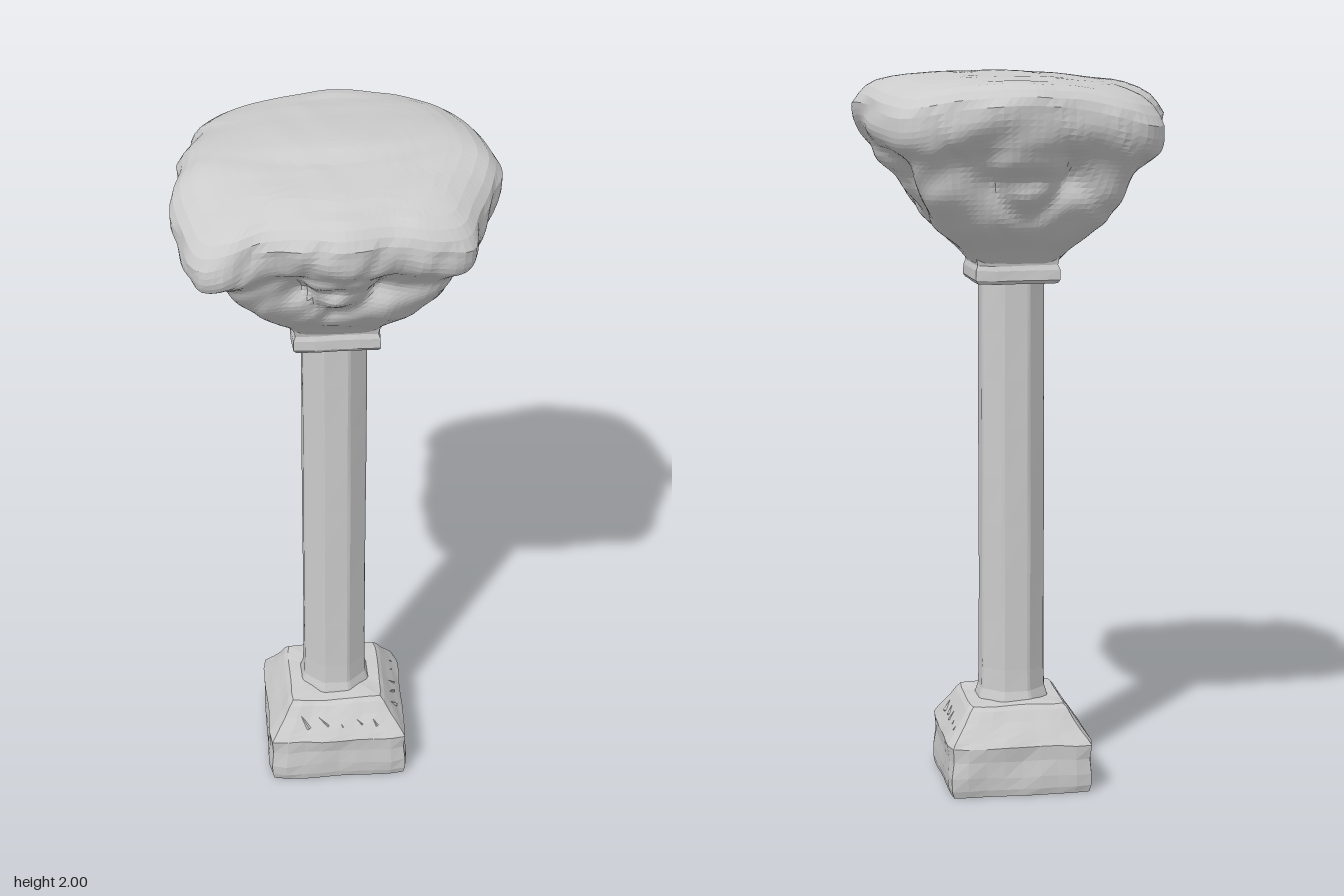
import * as THREE from 'three';

const material = new THREE.MeshStandardMaterial({ color: 0xcccccc, flatShading: true });
const { sin, cos, abs, hypot, atan2, PI, exp } = Math;
const V = (x, y, z) => new THREE.Vector3(x, y, z);
const ramp = (v, from, to) => Math.min(1, Math.max(0, (v - from) / (to - from)));

// Smooth repeatable roughness, about -1 to 1
const rough = (x, y, z) =>
  (sin(17 * x + 5 * sin(9 * y + 4 * z)) + sin(19 * z + 4 * sin(13 * x - 7 * y)) + sin(23 * y + 11 * x - 9 * z)) / 3;

// Skin a stack of equal-length rings, listed bottom to top, and close both ends
function loft(name, rings) {
  const n = rings[0].length, points = rings.flat(), index = [];
  const centre = ring => ring.reduce((s, p) => s.add(p), V(0, 0, 0)).divideScalar(n);
  for (let i = 0; i < rings.length - 1; i++) {
    for (let j = 0; j < n; j++) {
      const a = i * n + j, c = i * n + (j + 1) % n;
      index.push(a, a + n, c, c, a + n, c + n);
    }
  }
  const bottom = points.length, top = bottom + 1, last = (rings.length - 1) * n;
  points.push(centre(rings[0]), centre(rings[rings.length - 1]));
  for (let j = 0; j < n; j++) {
    const k = (j + 1) % n;
    index.push(bottom, j, k, top, last + k, last + j);
  }
  const geometry = new THREE.BufferGeometry().setFromPoints(points);
  geometry.setIndex(index);
  geometry.computeVertexNormals();
  const mesh = new THREE.Mesh(geometry, material);
  mesh.name = name;
  return mesh;
}

// Square ring with slightly worn corners
function squareRing(half, y, perSide, wear) {
  const ring = [];
  for (let s = 0; s < 4; s++) {
    for (let i = 0; i < perSide; i++) {
      const t = 2 * i / perSide - 1;
      const p = V(half, y, half * t).applyAxisAngle(V(0, 1, 0), -s * PI / 2);
      const k = 1 + wear * rough(p.x * 1.6, y, p.z * 1.6) - (i === 0 ? 0.03 : 0);
      ring.push(V(p.x * k, y + (y > 0.03 ? wear * 0.2 * rough(p.z, p.x, y) : 0), p.z * k));
    }
  }
  return ring;
}

// Octagonal ring with bevelled edges and a flat side to the front
function octagonRing(half, y, wear) {
  return Array.from({ length: 16 }, (_, i) => {
    const a = ((i >> 1) + 0.5) * PI / 4 + (i % 2 ? 0.05 : -0.05);
    const r = half / cos(PI / 8 - 0.05) * (1 + wear * sin(i * 4.1 + y * 7));
    return V(r * cos(a), y, r * sin(a));
  });
}

// Uneven plan of the capital's rim, as x and z
const rim = new THREE.CatmullRomCurve3([
  [.425, .06], [.405, .14], [.36, .25], [.32, .345], [.23, .38], [.13, .375], [0, .4], [-.08, .38], [-.21, .35],
  [-.30, .365], [-.37, .34], [-.41, .23], [-.43, .1], [-.405, 0], [-.395, -.12], [-.355, -.23], [-.365, -.28],
  [-.31, -.345], [-.25, -.365], [-.12, -.375], [0, -.4], [.16, -.38], [.32, -.33], [.385, -.21], [.415, -.06],
].map(([x, z]) => V(x, 0, z)), true).getSpacedPoints(128).slice(0, 128);

// The top falls toward the front, gently toward the other sides, and at the corners
const droop = (x, z) =>
  0.03 * x - 0.18 * x * x - (z > 0 ? 0.13 : 0.05) * abs(z) * ramp(abs(z), 0, 0.15) - 2.5 * (x * z) ** 2;

// Carved leaves: a central lobe under a drooping lip, with scrolled grooves at both sides
function carving(angle, y) {
  const t = (((angle / (PI / 2) + 0.5) % 1 + 1) % 1) * 2 - 1; // -1 to 1 across one face
  const bump = (u, v, w, h) => exp(-(((t - u) / w) ** 2) - ((y - v) / h) ** 2);
  const lobe = hypot(t / 0.45, (y - 1.75) / 0.13);
  const groove = exp(-(((lobe - 1) / 0.3) ** 2)) * (1 - ramp(y, 1.72, 1.82));
  const scroll = bump(-0.58, 1.73, 0.2, 0.08) + bump(0.58, 1.73, 0.2, 0.08);
  const lip = bump(0, 1.765, 0.4, 0.03), dip = bump(0, 1.715, 0.35, 0.03);
  return 0.01 * lip - 0.014 * dip - 0.028 * groove - 0.035 * scroll;
}

function capitalRing(size, y, blend) {
  return rim.map(p => {
    const a = atan2(p.z, p.x), c = cos(a), s = sin(a);
    const square = size / (abs(c) ** 6 + abs(s) ** 6) ** (1 / 6);
    const outline = hypot(p.x, p.z) * size / 0.41;
    let r = square + (outline - square) * blend;
    r += ramp(y, 1.5, 1.6) * (carving(a, y) + 0.01 * rough(c * r * 1.5, y * 1.3, s * r * 1.5));
    return V(r * c, y + blend ** 3 * droop(r * c, r * s), r * s);
  });
}

// Waved top of the capital with shallow curved furrows
function topRing(scale, y) {
  return rim.map(p => {
    const x = p.x * scale, z = p.z * scale;
    const furrow = (at, bend) => exp(-(((z - at + bend * x * x) / 0.035) ** 2) - (x / 0.25) ** 2);
    const wave = 0.003 * rough(x, 0.3, z) - 0.008 * furrow(0.1, 0.8) - 0.01 * furrow(0.31, 0.8) - 0.006 * furrow(-0.27, 0.3);
    return V(x, y + droop(x, z) + wave, z);
  });
}

export function createModel() {
  const model = new THREE.Group();
  model.name = 'stonePillar';

  // Plinth block with its sloping shoulder
  const plinth = [[.197, 0], [.202, .02], [.203, .055], [.199, .1], [.202, .14], [.192, .155], [.178, .175],
    [.16, .2], [.142, .228], [.131, .24], [.095, .243]];
  model.add(loft('plinth', plinth.map(([h, y]) => squareRing(h, y, 8, 0.025))));

  // Chiselled scratches on the front and left shoulders
  const scratches = new THREE.Group();
  scratches.name = 'shoulderScratches';
  for (let side = 0; side < 2; side++) {
    for (let i = 0; i < 5; i++) {
      const holder = new THREE.Group();
      holder.rotation.y = side * PI / 2;
      const scratch = new THREE.Mesh(new THREE.ConeGeometry(0.006, 0.06, 4), material);
      scratch.name = 'scratch';
      scratch.position.set(-0.1 + i * 0.05, 0.193, 0.163);
      scratch.rotation.set(-0.65, 0, i % 2 ? 0.8 : 0.5);
      holder.add(scratch);
      scratches.add(holder);
    }
  }
  model.add(scratches);

  // Eight-sided shaft with a flared foot
  const shaft = [[.1, .235], [.096, .25], [.09, .27]];
  for (let i = 0; i <= 8; i++) shaft.push([.088, .33 + i * .1375]);
  model.add(loft('shaft', shaft.map(([h, y]) => octagonRing(h, y, 0.006))));

  // Square collar under the capital
  const collar = [[.113, 1.425], [.12, 1.435], [.119, 1.462], [.114, 1.475], [.117, 1.49], [.127, 1.51]];
  model.add(loft('collar', collar.map(([h, y]) => squareRing(h, y, 4, 0.015))));

  // Spreading capital, carved below and worn on top
  const profile = new THREE.CatmullRomCurve3([[.115, 1.48], [.147, 1.515], [.2, 1.56], [.25, 1.61], [.29, 1.66],
    [.32, 1.72], [.352, 1.78], [.387, 1.835], [.408, 1.89], [.41, 1.935]].map(([r, y]) => V(r, y, 0)));
  const rings = profile.getSpacedPoints(32).map(p => capitalRing(p.x, p.y, ramp(p.y, 1.5, 1.86)));
  const top = [[.975, 1.958], [.93, 1.976], [.86, 1.989], [.77, 1.996], [.69, 1.998]];
  for (let s = 0.61; s > 0.02; s -= 0.08) top.push([s, 1.998]);
  rings.push(...top.map(([s, y]) => topRing(s, y)));
  model.add(loft('capital', rings));

  return model;
}
